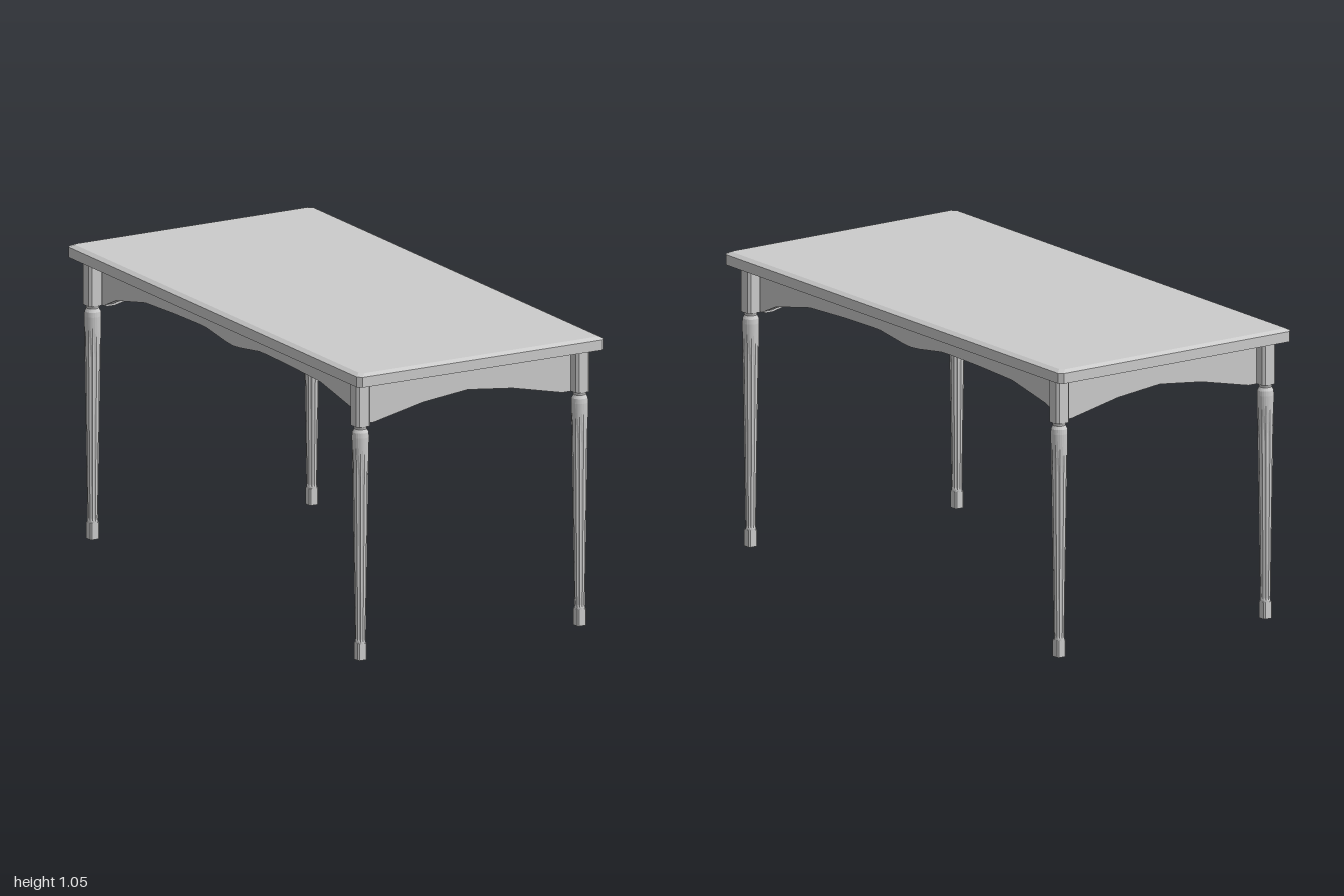
import * as THREE from 'three';

const material = new THREE.MeshStandardMaterial({ color: 0xcccccc, side: THREE.DoubleSide });

function part(name, geometry) {
  const mesh = new THREE.Mesh(geometry, material);
  mesh.name = name;
  return mesh;
}

// Upright prism with a corner-chamfered rectangular outline
function chamferedPrism(hx, hz, c, y0, y1, steps = 1) {
  const shape = new THREE.Shape([
    [hx - c, -hz], [hx, -hz + c], [hx, hz - c], [hx - c, hz],
    [-hx + c, hz], [-hx, hz - c], [-hx, -hz + c], [-hx + c, -hz],
  ].map(([x, z]) => new THREE.Vector2(x, z)));
  return new THREE.ExtrudeGeometry(shape, { depth: y1 - y0, bevelEnabled: false, steps })
    .rotateX(-Math.PI / 2).translate(0, y0, 0);
}

// Slab whose upper edge slopes inward
function tableTop() {
  const y0 = 1.004, y1 = 1.05, inset = 0.018;
  const geometry = chamferedPrism(0.498, 1, 0.015, y0, y1, 2);
  const p = geometry.attributes.position;
  for (let i = 0; i < p.count; i++) {
    const y = p.getY(i);
    if (y > y1 - 0.001) {
      p.setX(i, p.getX(i) - Math.sign(p.getX(i)) * inset);
      p.setZ(i, p.getZ(i) - Math.sign(p.getZ(i)) * inset);
    } else if (y > y0 + 0.001) p.setY(i, 1.041);
  }
  geometry.computeVertexNormals();
  return part('tableTop', geometry);
}

// Board with a scalloped lower edge, given as half of a symmetric outline
function apron(name, half, thickness) {
  const mirrored = half.slice(0, -1).reverse().map(([u, y]) => [-u, y]);
  const lower = [...half.map(([u, y]) => [u, y]), ...mirrored];
  const end = half[0][0];
  const points = [[end, 1.004], ...lower, [-end, 1.004]].map(([u, y]) => new THREE.Vector2(u, y));
  const geometry = new THREE.ExtrudeGeometry(new THREE.Shape(points), { depth: thickness, bevelEnabled: false });
  return part(name, geometry.translate(0, 0, -thickness / 2));
}

// Tapered round shaft with shallow flutes and a turned neck
function legShaft() {
  const profile = [
    [0.0185, 0.055], [0.0185, 0.065], [0.0185, 0.075], [0.0275, 0.66], [0.0292, 0.77],
    [0.03, 0.803], [0.0285, 0.82], [0.022, 0.832], [0.023, 0.837], [0.027, 0.845],
  ].map(([r, y]) => new THREE.Vector2(r, y));
  const geometry = new THREE.LatheGeometry(profile, 24);
  const p = geometry.attributes.position;
  for (let i = 0; i < p.count; i++) {
    const y = p.getY(i);
    const column = Math.floor(i / profile.length);
    if (y > 0.07 && y < 0.7 && column % 2) {
      p.setX(i, p.getX(i) * 0.9);
      p.setZ(i, p.getZ(i) * 0.9);
    }
  }
  const flat = geometry.toNonIndexed();
  flat.computeVertexNormals();
  return part('legShaft', flat);
}

function leg(name) {
  const group = new THREE.Group();
  group.name = name;
  group.add(
    part('legBlock', chamferedPrism(0.028, 0.028, 0.009, 0.843, 1.005)),
    legShaft(),
    part('legFoot', chamferedPrism(0.018, 0.018, 0.005, 0, 0.06)),
  );
  return group;
}

export function createModel() {
  const table = new THREE.Group();
  table.name = 'table';
  table.add(tableTop());

  // Legs at the four corners
  for (const [sx, side] of [[1, 'Left'], [-1, 'Right']]) {
    for (const [sz, end] of [[1, 'front'], [-1, 'back']]) {
      const l = leg(`${end}${side}Leg`);
      l.position.set(sx * 0.442, 0, sz * 0.915);
      table.add(l);
    }
  }

  // Arched end aprons and double-arched side aprons
  const endEdge = [[0.414, 0.842], [0.38, 0.842], [0.18, 0.886], [0, 0.906]];
  const sideEdge = [[0.9, 0.842], [0.885, 0.842], [0.8, 0.88], [0.6, 0.92], [0.4, 0.928], [0.23, 0.931],
    [0.18, 0.93], [0.05, 0.912], [0, 0.908]];
  for (const s of [1, -1]) {
    const endApron = apron(s > 0 ? 'frontApron' : 'backApron', endEdge, 0.032);
    endApron.position.z = s * 0.885;
    const sideApron = apron(s > 0 ? 'leftApron' : 'rightApron', sideEdge, 0.032);
    sideApron.rotation.y = Math.PI / 2;
    sideApron.position.x = s * 0.4;
    table.add(endApron, sideApron);
  }
  return table;
}
